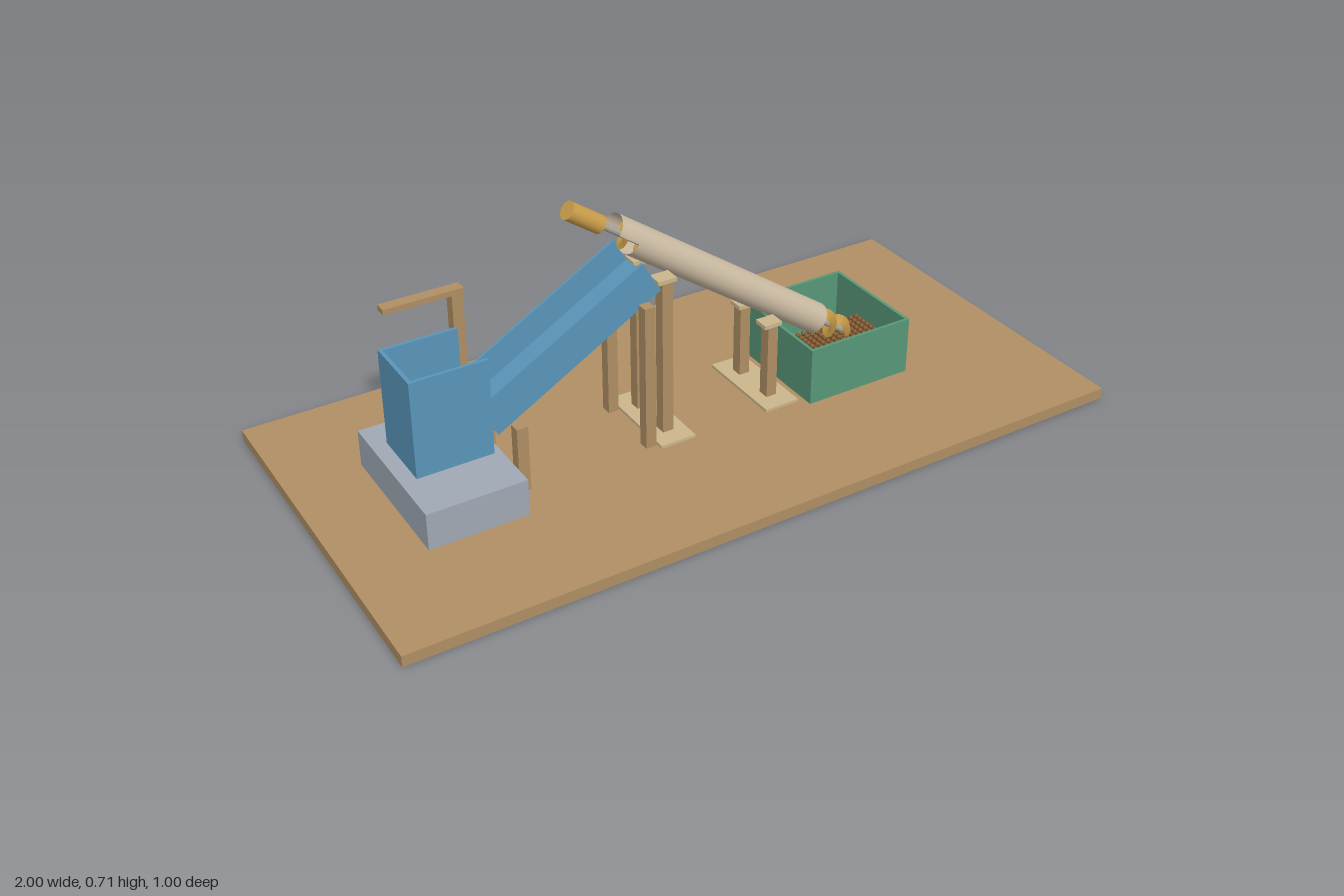
import * as THREE from 'three';

const mat = (name, color, side = THREE.FrontSide) => {
  const m = new THREE.MeshStandardMaterial({ color, side });
  m.name = name;
  return m;
};

export function createModel() {
  const model = new THREE.Group();
  model.name = 'screwConveyorRig';

  const wood = mat('wood', 0xb08f64);
  const plywood = mat('pale plywood', 0xccb78c);
  const blue = mat('blue sheet', 0x5a95ba);
  const green = mat('green bin', 0x579777);
  const grey = mat('grey block', 0xa0a9b4);
  const cream = mat('cream pipe', 0xcdbda4, THREE.DoubleSide);
  const gold = mat('gold metal', 0xcc9f4a, THREE.DoubleSide);
  const steel = mat('steel', 0xa9a49a);
  const brown = mat('brown grain', 0x84592f);

  // Box given by its extents on each axis
  const box = (name, m, [x0, x1], [y0, y1], [z0, z1], parent = model) => {
    const mesh = new THREE.Mesh(new THREE.BoxGeometry(x1 - x0, y1 - y0, z1 - z0), m);
    mesh.position.set((x0 + x1) / 2, (y0 + y1) / 2, (z0 + z1) / 2);
    mesh.name = name;
    parent.add(mesh);
    return mesh;
  };
  // Same box on both sides of the centre plane
  const pair = (name, m, x, y, [z0, z1], parent = model) => {
    box(name, m, x, y, [z0, z1], parent);
    box(name, m, x, y, [-z1, -z0], parent);
  };

  box('baseBoard', wood, [-1, 1], [0, 0.03], [-0.5, 0.5]);

  // Weighing block and three-sided hopper above it
  box('block', grey, [-0.8, -0.54], [0.03, 0.13], [-0.2, 0.2]);
  box('hopperBack', blue, [-0.77, -0.76], [0.15, 0.41], [-0.087, 0.087]);
  pair('hopperSide', blue, [-0.76, -0.57], [0.15, 0.41], [0.078, 0.087]);

  // Sensor post with arm
  box('sensorPost', wood, [-0.52, -0.49], [0.03, 0.415], [-0.25, -0.218]);
  box('sensorArm', wood, [-0.7, -0.487], [0.415, 0.43], [-0.25, -0.218]);

  // Sloping chute: local x runs uphill
  const chute = new THREE.Group();
  chute.name = 'chute';
  chute.position.set(-0.55, 0.187, 0);
  chute.rotation.z = Math.PI / 6;
  model.add(chute);
  box('chuteFloor', blue, [0, 0.52], [0.022, 0.03], [-0.068, 0.068], chute);
  pair('chuteSide', blue, [0, 0.52], [0, 0.1], [0.066, 0.073], chute);

  // Chute legs
  pair('shortLeg', wood, [-0.52, -0.49], [0.03, 0.21], [0.08, 0.11]);
  pair('tallLeg', wood, [-0.167, -0.138], [0.03, 0.43], [0.08, 0.11]);

  // Two trestles holding the pipe
  for (const [x, top] of [[-0.085, 0.475], [0.23, 0.255]]) {
    box('trestleFoot', plywood, [x - 0.05, x + 0.05], [0.03, 0.038], [-0.13, 0.13]);
    pair('trestlePost', wood, [x - 0.015, x + 0.015], [0.038, top - 0.011], [0.048, 0.08]);
    pair('trestleCap', plywood, [x - 0.026, x + 0.026], [top - 0.011, top], [0.038, 0.081]);
  }

  // Bin
  box('binFloor', green, [0.3, 0.613], [0.03, 0.04], [-0.157, 0.157]);
  pair('binSide', green, [0.3, 0.613], [0.04, 0.19], [0.148, 0.157]);
  box('binEnd', green, [0.3, 0.309], [0.04, 0.19], [-0.148, 0.148]);
  box('binEnd', green, [0.604, 0.613], [0.04, 0.19], [-0.148, 0.148]);

  // Grain in a regular stack
  const grainShape = new THREE.SphereGeometry(0.007, 8, 6);
  const grain = new THREE.Group();
  grain.name = 'grain';
  model.add(grain);
  for (let i = 0; i < 12; i++) for (let j = 0; j < 7; j++) for (let k = 0; k < 4; k++) {
    const g = new THREE.Mesh(grainShape, brown);
    g.name = 'kernel';
    g.position.set(0.403 + i * 0.0177, 0.048 + k * 0.018, (j - 3) * 0.0165);
    grain.add(g);
  }

  // Screw conveyor: local x runs down the pipe axis
  const conveyor = new THREE.Group();
  conveyor.name = 'screwConveyor';
  conveyor.position.set(-0.194, 0.606, 0);
  conveyor.rotation.z = -35 * Math.PI / 180;
  model.add(conveyor);
  const rod = (name, m, t0, t1, r, open = false, start = 0, sweep = Math.PI * 2) => {
    const geo = new THREE.CylinderGeometry(r, r, t1 - t0, 32, 1, open, start, sweep);
    geo.rotateZ(-Math.PI / 2);
    const mesh = new THREE.Mesh(geo, m);
    mesh.position.x = (t0 + t1) / 2;
    mesh.name = name;
    conveyor.add(mesh);
  };
  rod('pipe', cream, 0.065, 0.75, 0.042, true);
  rod('pipeHood', cream, 0, 0.065, 0.042, true, Math.PI, Math.PI);
  rod('motor', gold, -0.14, -0.036, 0.024);
  rod('shaft', steel, -0.04, 0.89, 0.009);

  // Spiral flight
  const t0 = 0.02, t1 = 0.885, pitch = 0.055, steps = 380;
  const pos = [], index = [];
  for (let i = 0; i <= steps; i++) {
    const t = t0 + (t1 - t0) * i / steps;
    const a = (t - t0) / pitch * Math.PI * 2;
    for (const r of [0.008, 0.036]) pos.push(t, r * Math.cos(a), r * Math.sin(a));
    if (i < steps) {
      const p = i * 2;
      index.push(p, p + 1, p + 2, p + 1, p + 3, p + 2);
    }
  }
  const flightGeo = new THREE.BufferGeometry();
  flightGeo.setAttribute('position', new THREE.Float32BufferAttribute(pos, 3));
  flightGeo.setIndex(index);
  flightGeo.computeVertexNormals();
  const flight = new THREE.Mesh(flightGeo, gold);
  flight.name = 'spiralFlight';
  conveyor.add(flight);

  return model;
}
